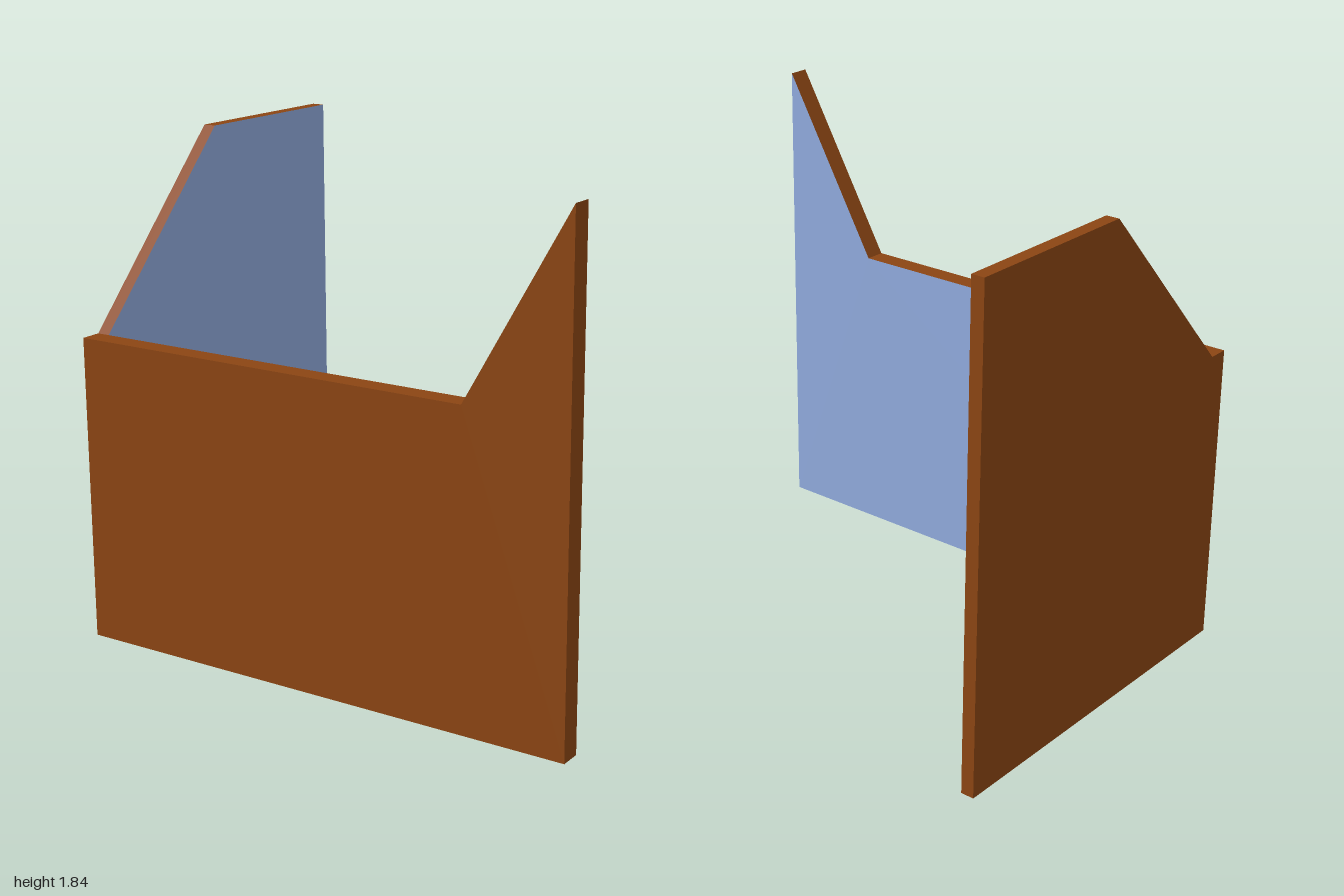
import * as THREE from 'three';

// Flat panel: outline extruded along +z, back cap lined, everything else wood
function panel(name, points, depth, wood, lining) {
  const shape = new THREE.Shape(points.map(([x, y]) => new THREE.Vector2(x, y)));
  const geo = new THREE.ExtrudeGeometry(shape, { depth, bevelEnabled: false });
  const [caps, edges] = geo.groups.map((g) => ({ ...g }));
  const half = caps.count / 2;
  geo.clearGroups();
  geo.addGroup(caps.start, half, 1); // back cap
  geo.addGroup(caps.start + half, half, 0); // front cap
  geo.addGroup(edges.start, edges.count, 0); // rim
  const mesh = new THREE.Mesh(geo, [wood, lining]);
  mesh.name = name;
  return mesh;
}

export function createModel() {
  const wood = new THREE.MeshStandardMaterial({ name: 'brown wood', color: 0x8b4513 });
  const lining = new THREE.MeshStandardMaterial({ name: 'blue lining', color: 0x8faadc });
  const model = new THREE.Group();
  model.name = 'cornerPartition';

  // Front wall, low along most of its length and rising to a point at its left end
  const front = panel('frontWall',
    [[-1, 0], [1, 0], [1, 1.84], [0.6, 1.15], [-1, 1.15]], 0.08, wood, lining);
  front.position.z = 0.635;

  // Side wall, outline drawn in z and y, with a sloped shoulder down to the front wall
  const side = panel('sideWall',
    [[-0.715, 0], [0.635, 0], [0.635, 1.15], [-0.01, 1.832], [-0.715, 1.832]], 0.05, wood, lining);
  side.rotation.y = -Math.PI / 2;
  side.position.x = -0.95;

  model.add(front, side);
  return model;
}
